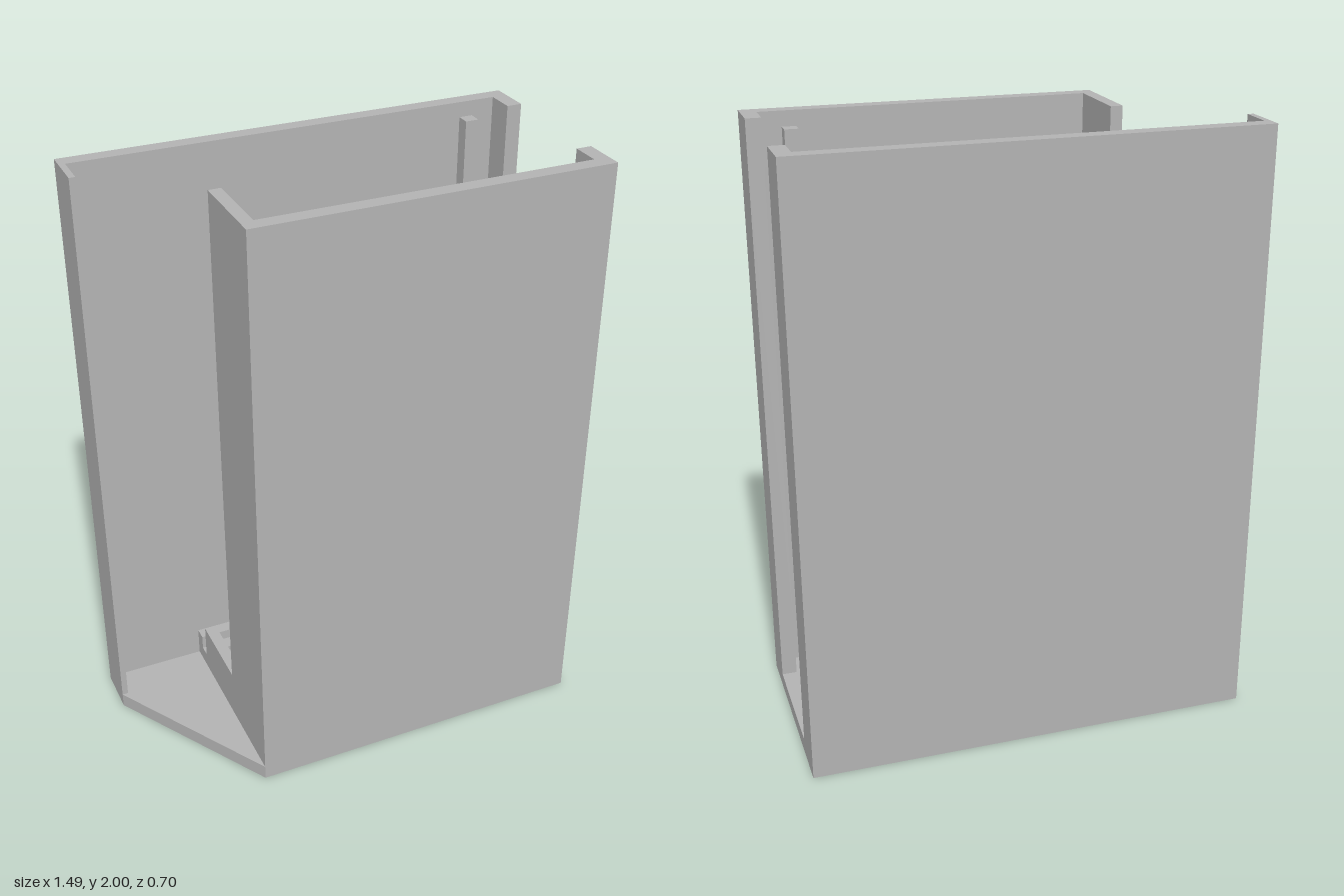
import * as THREE from 'three';

export function createModel() {
  const group = new THREE.Group();
  const grey = new THREE.MeshStandardMaterial({ color: 0xb2b2b2 });
  grey.name = 'plain grey';

  // Upright prism from a plan outline of [x, z] points between two heights
  const prism = (name, points, y0, y1) => {
    const shape = new THREE.Shape(points.map(([x, z]) => new THREE.Vector2(x, -z)));
    const geo = new THREE.ExtrudeGeometry(shape, { depth: y1 - y0, bevelEnabled: false });
    geo.rotateX(-Math.PI / 2).translate(0, y0, 0);
    const mesh = new THREE.Mesh(geo, grey);
    mesh.name = name;
    group.add(mesh);
  };
  const block = (name, x0, x1, z0, z1, y0, y1) =>
    prism(name, [[x0, z0], [x1, z0], [x1, z1], [x0, z1]], y0, y1);

  const X = 0.745, Z = 0.35, T = 0.05; // half width, half depth, wall thickness
  const xi = X - T, zi = Z - T;        // inner faces
  const wo = -0.415, wi = -0.375;      // side wall outer and inner faces

  // Floor with one slanted corner
  prism('floor', [[-X, -Z], [X, -Z], [X, Z], [wo, Z], [-X, -0.19]], 0, T);

  // Back wall with a lip at each end
  prism('backWall', [[-X, -Z], [X, -Z], [X, -0.205], [xi, -0.205], [xi, -zi],
    [-0.725, -zi], [-0.725, -0.19], [-X, -0.19]], T, 2);

  // Front wall, right lip and side wall; the side wall narrows in steps
  const frontSection = (name, zOuter, zInner, y0, y1) =>
    prism(name, [[wo, Z], [X, Z], [X, 0.205], [xi, 0.205], [xi, zi],
      [wi, zi], [wi, zInner], [wo, zOuter]], y0, y1);
  frontSection('frontWallLower', -0.217, -0.217, T, 0.22);
  frontSection('frontWallMiddle', 0.055, -0.04, 0.22, 1.83);
  frontSection('frontWallUpper', 0.055, 0.055, 1.83, 2);

  // Guide ribs inside the front and back walls
  block('backRib', 0.575, 0.62, -zi, -0.255, T, 1.95);
  block('frontRib', 0.575, 0.62, 0.255, zi, T, 1.95);

  // Slotted holder on the floor at the back
  block('holderBack', wo, -0.295, -zi, -0.257, T, 0.15);
  block('holderSlotBase', wo, -0.295, -0.257, -0.217, T, 0.1);
  block('holderFront', wi, -0.295, -0.217, -0.17, T, 0.15);

  return group;
}
